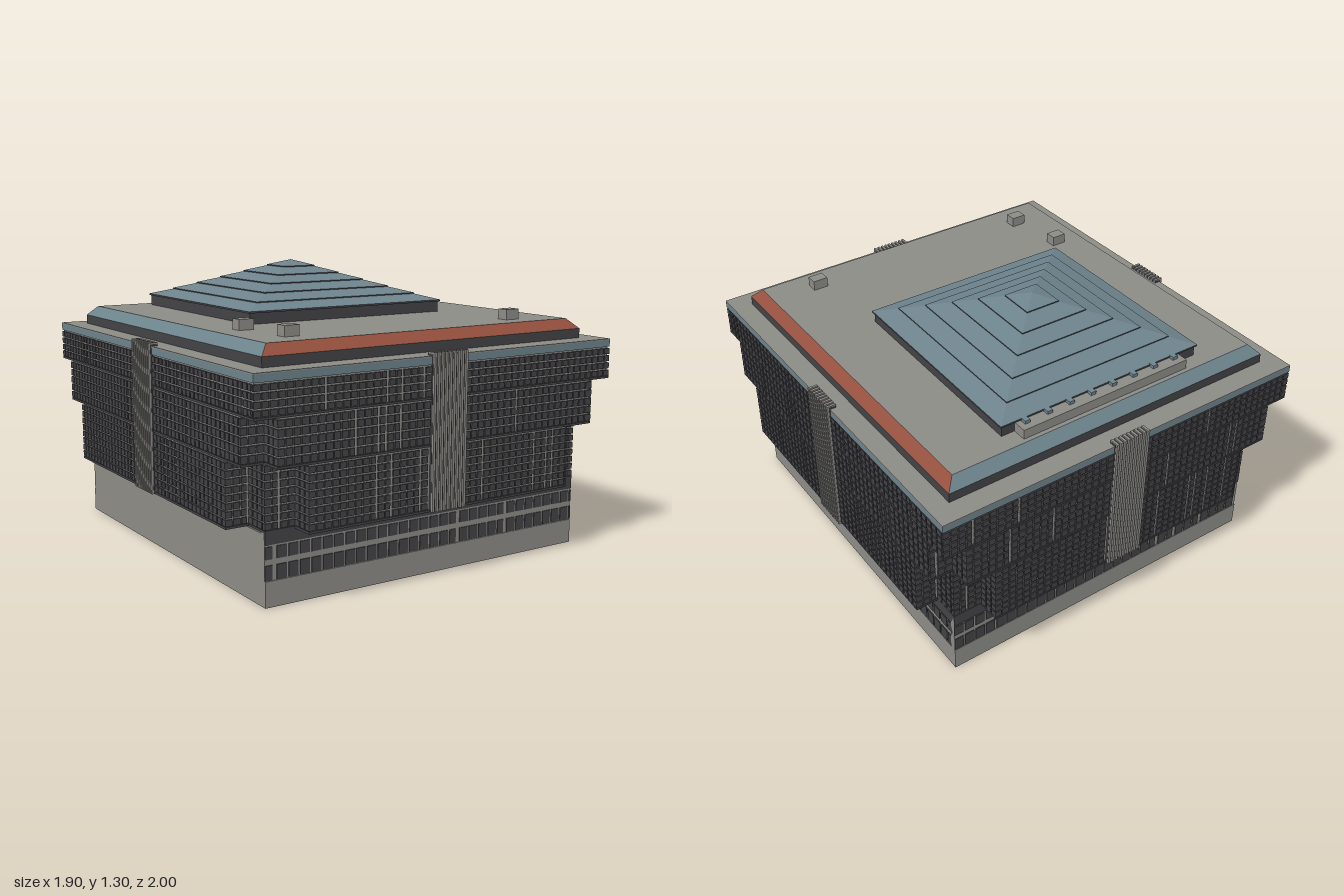
import * as THREE from 'three';
import { mergeGeometries } from 'three/addons/utils/BufferGeometryUtils.js';

const mat = (name, color) => {
  const m = new THREE.MeshStandardMaterial({ color });
  m.name = name;
  return m;
};

export function createModel() {
  const concrete = mat('concrete grey', 0x8c8b86);
  const dark = mat('dark glass', 0x434246);
  const blue = mat('blue grey metal', 0x6d838c);
  const red = mat('brick red', 0x96503f);
  const model = new THREE.Group();

  let seed = 7;
  const rand = () => (seed = (seed * 16807) % 2147483647) / 2147483647;

  const add = (name, geo, material) => {
    const mesh = new THREE.Mesh(geo, material);
    mesh.name = name;
    model.add(mesh);
    return mesh;
  };
  const boxGeo = (x0, x1, y0, y1, z0, z1) =>
    new THREE.BoxGeometry(x1 - x0, y1 - y0, z1 - z0)
      .translate((x0 + x1) / 2, (y0 + y1) / 2, (z0 + z1) / 2);
  const box = (name, material, ...b) => add(name, boxGeo(...b), material);
  // Box centred on the vertical axis, given half sizes
  const slab = (name, material, hx, hz, y0, y1) => box(name, material, -hx, hx, y0, y1, -hz, hz);

  // The four faces: turn from +z, and whether the face runs along x
  const faces = [
    { name: 'Front', turn: 0, alongX: true },
    { name: 'Right', turn: Math.PI / 2, alongX: false },
    { name: 'Back', turn: Math.PI, alongX: true },
    { name: 'Left', turn: -Math.PI / 2, alongX: false },
  ];

  // Irregular columns of dark panes standing proud of a wall
  const panes = (plane, u0, u1, rows, pitch) => {
    const out = [];
    let u = u0;
    while (u < u1 - 0.012) {
      const wide = rand() < 0.14;
      const end = Math.min(u + pitch * (wide ? 0.62 : 0.83), u1);
      for (const [y0, y1] of rows) out.push(boxGeo(u, end, y0, y1, plane - 0.009, plane));
      u += pitch;
    }
    return out;
  };
  const evenRows = (y0, y1, n) => Array.from({ length: n }, (_, i) => {
    const h = (y1 - y0) / n;
    return [y0 + i * h, y0 + (i + 1) * h - 0.007];
  });

  // Base: hollow walls, one side left plain
  const bx = 0.83, bz = 0.88, t = 0.03;
  box('baseWallFront', concrete, -bx, bx, 0, 0.31, bz - t, bz - 0.004);
  box('baseWallBack', concrete, -bx, bx, 0, 0.31, -bz + 0.004, -bz + t);
  box('baseWallRight', concrete, bx - t, bx - 0.004, 0, 0.31, -bz + t, bz - t);
  box('baseWallLeft', concrete, -bx, -bx + t, 0, 0.305, -bz + t, bz - t);
  for (const f of faces) {
    if (f.name === 'Left') continue;
    const half = f.alongX ? bx : bz, plane = f.alongX ? bz : bx;
    const skirt = boxGeo(-half, half, 0, 0.11, plane - 0.006, plane).rotateY(f.turn);
    add('basePlinth' + f.name, skirt, concrete);
    const glass = panes(plane, -half, half, [[0.113, 0.175], [0.2, 0.252]], 0.055);
    glass.push(boxGeo(-half, half, 0.26, 0.31, plane - 0.009, plane));
    add('baseWindows' + f.name, mergeGeometries(glass).rotateY(f.turn), dark);
  }

  // Body: three tiers whose corners step back towards the bottom
  const tiers = [
    { y0: 0.31, y1: 0.59, rows: 8, steps: [[0.69, 0.985], [0.83, 0.88], [0.935, 0.75]] },
    { y0: 0.59, y1: 0.79, rows: 5, steps: [[0.83, 0.985], [0.935, 0.88]] },
    { y0: 0.79, y1: 0.935, rows: 4, steps: [[0.935, 0.985]] },
  ];
  tiers.forEach(({ y0, y1, rows, steps }, n) => {
    const grid = evenRows(y0 + 0.012, y1, rows);
    steps.forEach(([hx, hz], i) => {
      slab('tierCore' + n, concrete, hx - 0.007, hz - 0.007, y0 + 0.01, y1);
      slab('tierSoffit' + n, dark, hx, hz, y0, y0 + 0.01);
      const prevX = i ? steps[i - 1][0] : 0.09;
      const nextZ = i < steps.length - 1 ? steps[i + 1][1] : 0.09;
      for (const f of faces) {
        const [plane, from, to] = f.alongX ? [hz, prevX, hx] : [hx, nextZ, hz];
        const list = [...panes(plane, from, to, grid, 0.037), ...panes(plane, -to, -from, grid, 0.037)];
        add('tierWindows' + n + f.name, mergeGeometries(list).rotateY(f.turn), dark);
      }
    });
  });

  // Ribbed pilaster in the middle of each face
  for (const f of faces) {
    const plane = f.alongX ? 0.985 : 0.935;
    add('pilaster' + f.name, boxGeo(-0.09, 0.09, 0.31, 0.98, plane - 0.03, plane + 0.005).rotateY(f.turn), dark);
    const ribs = [];
    for (let i = 0; i < 9; i++) {
      const u = -0.083 + i * 0.02075;
      ribs.push(boxGeo(u - 0.006, u + 0.006, 0.31, 0.987, plane - 0.03, plane + 0.014));
    }
    add('pilasterRibs' + f.name, mergeGeometries(ribs).rotateY(f.turn), concrete);
  }

  // Cornice, ledge and attic
  slab('cornice', blue, 0.935, 0.985, 0.935, 0.967);
  slab('ledge', concrete, 0.935, 0.985, 0.967, 0.972);
  slab('atticWall', dark, 0.84, 0.885, 0.972, 1.015);

  // Sloped attic edge, two sides red and two blue
  const corners = [[1, 1], [1, -1], [-1, -1], [-1, 1]];
  [red, blue, blue, red].forEach((m, i) => {
    const [a, b] = [corners[i], corners[(i + 1) % 4]];
    const low = (c) => [c[0] * 0.84, 1.015, c[1] * 0.885];
    const high = (c) => [c[0] * 0.795, 1.06, c[1] * 0.84];
    const g = new THREE.BufferGeometry();
    g.setAttribute('position', new THREE.Float32BufferAttribute(
      [low(a), low(b), high(b), low(a), high(b), high(a)].flat(), 3));
    g.computeVertexNormals();
    add('atticSlope', g, m);
  });
  slab('roofDeck', concrete, 0.795, 0.84, 1.015, 1.06);

  // Penthouse with a stepped pyramid roof, turned very slightly
  const penthouse = new THREE.Group();
  penthouse.name = 'penthouse';
  penthouse.position.set(-0.023, 0, -0.24);
  penthouse.rotation.y = -0.0095;
  model.add(penthouse);
  const frustum = (name, material, r0, r1, y0, y1) => {
    const g = new THREE.CylinderGeometry(r1 * Math.SQRT2, r0 * Math.SQRT2, y1 - y0, 4)
      .rotateY(Math.PI / 4).translate(0, (y0 + y1) / 2, 0).toNonIndexed();
    g.computeVertexNormals();
    penthouse.add(add(name, g, material));
  };
  frustum('penthouseWall', dark, 0.518, 0.518, 1.06, 1.112);
  const radii = [0.526, 0.436, 0.346, 0.258, 0.172, 0.086, 0];
  for (let i = 0; i < 6; i++) {
    const y = 1.112 + i * 0.0315;
    frustum('roofRiser', dark, radii[i], radii[i], y - 0.003, y + 0.005);
    frustum('roofStep', blue, radii[i], radii[i + 1], y + 0.005, y + 0.0315);
  }

  // Vent housing behind the penthouse, with small stubs
  box('ventHousing', concrete, -0.44, 0.435, 1.06, 1.105, -0.82, -0.755);
  for (let i = 0; i < 8; i++) {
    const x = -0.4 + i * 0.1135;
    box('ventStub', blue, x - 0.013, x + 0.013, 1.1, 1.12, -0.79, -0.762);
  }

  // Roof units
  for (const [x, z] of [[-0.655, 0.41], [-0.605, 0.695], [0.555, 0.718]])
    box('roofUnit', concrete, x - 0.036, x + 0.036, 1.06, 1.107, z - 0.028, z + 0.028);

  return model;
}
